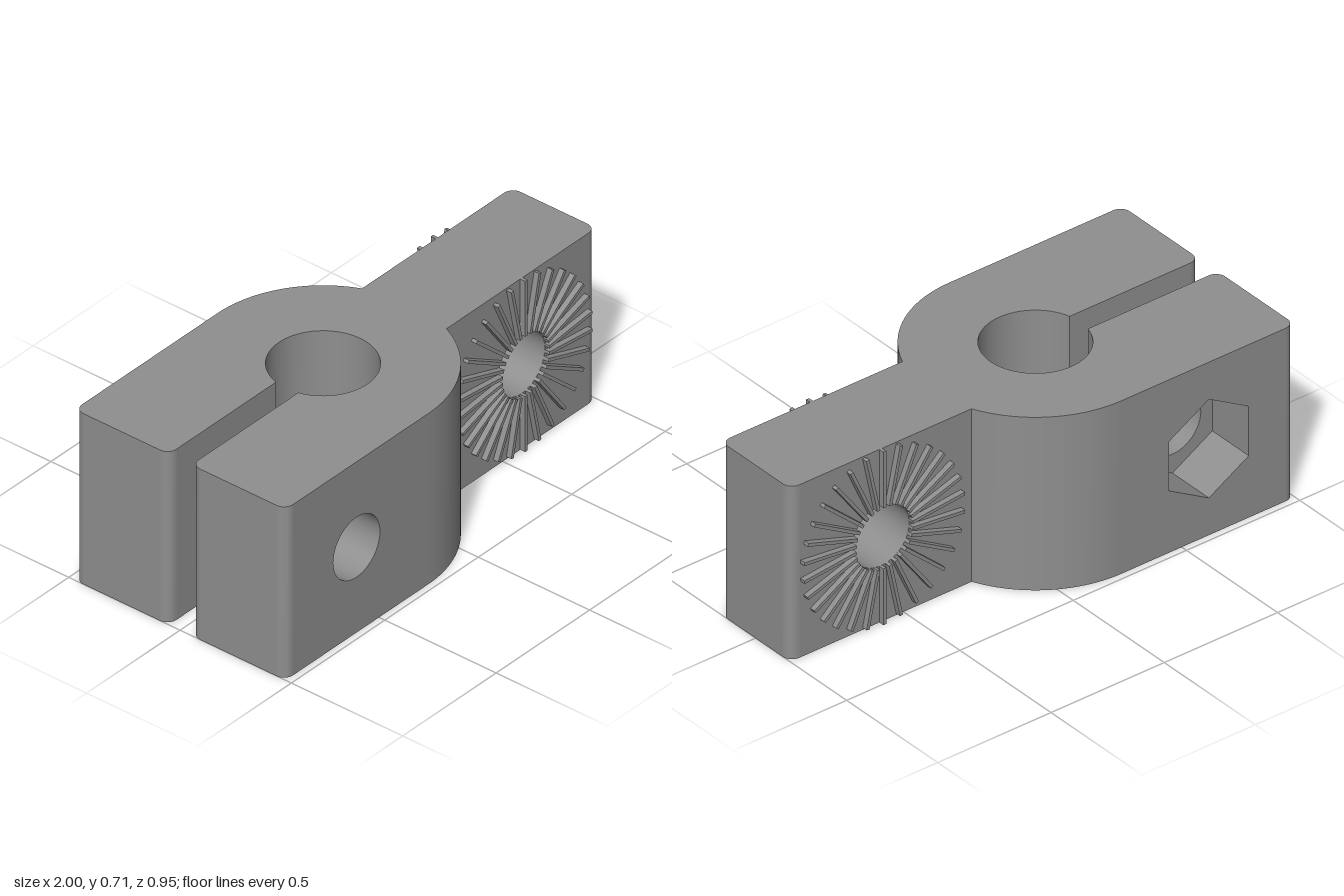
import * as THREE from 'three';
import { mergeGeometries, toCreasedNormals } from 'three/addons/utils/BufferGeometryUtils.js';

const H = 0.712, MID = H / 2;          // body height and hole height
const ARM = 0.474, SLOT = 0.05, TONGUE = 0.19; // half widths in z
const CX = -0.235, BORE = 0.198;       // clamp bore
const R = 0.04, HOLE = 0.125;          // end rounding, cross hole radius
const BOLT_X = -0.62, PIVOT_X = 0.6, POCKET = -0.274;

const V = (x, y) => new THREE.Vector2(x, y);

// Points on an arc, swept from angle a to angle b
function arc(cx, cy, r, a, b, n) {
  return Array.from({ length: n + 1 }, (_, i) => {
    const t = a + (b - a) * i / n;
    return V(cx + r * Math.cos(t), cy + r * Math.sin(t));
  });
}

// Upright strip along a path; the surface faces the right of the path
function wall(path, z0, z1) {
  const pos = [];
  for (let i = 0; i < path.length - 1; i++) {
    const a = path[i], b = path[i + 1];
    pos.push(a.x, a.y, z0, b.x, b.y, z0, b.x, b.y, z1);
    pos.push(a.x, a.y, z0, b.x, b.y, z1, a.x, a.y, z1);
  }
  const g = new THREE.BufferGeometry();
  g.setAttribute('position', new THREE.Float32BufferAttribute(pos, 3));
  return toCreasedNormals(g, 0.6);
}

function flat(points, hole) {
  const shape = new THREE.Shape(points);
  if (hole) shape.holes.push(new THREE.Path(hole));
  const g = new THREE.ShapeGeometry(shape).toNonIndexed();
  g.deleteAttribute('uv');
  return g;
}

// Flat face at depth z, facing +z (dir 1) or -z (dir -1), with a hole
function panel(points, hole, z, dir) {
  const flip = list => list.map(p => V(p.x * dir, p.y));
  const g = flat(flip(points), flip(hole));
  if (dir < 0) g.rotateY(Math.PI);
  return g.translate(0, 0, z);
}

const rect = (x0, x1) => [V(x0, 0), V(x1, 0), V(x1, H), V(x0, H)];

export function createModel() {
  const model = new THREE.Group();
  const grey = new THREE.MeshStandardMaterial({ color: 0x8f8f8f });
  grey.name = 'grey';
  const add = (name, parts) => {
    const mesh = new THREE.Mesh(mergeGeometries(parts), grey);
    mesh.name = name;
    model.add(mesh);
  };

  // Plan outline: curved and plain pieces, anticlockwise
  const P = Math.PI, a = Math.asin(TONGUE / ARM), b = P - Math.asin(SLOT / BORE);
  const neckX = CX + ARM * Math.cos(a), slotX = CX + BORE * Math.cos(b);
  const end = 1 - R;
  const armEnd = (outer, inner) => [
    arc(-end, outer - R, R, P / 2, P, 8),
    [V(-1, outer - R), V(-1, inner + R)],
    arc(-end, inner + R, R, P, 1.5 * P, 8),
  ];
  const pieces = [
    arc(end, R - TONGUE, R, -P / 2, 0, 8),
    [V(1, R - TONGUE), V(1, TONGUE - R)],
    arc(end, TONGUE - R, R, 0, P / 2, 8),
    arc(CX, 0, ARM, a, P / 2, 32),
    ...armEnd(ARM, SLOT),
    arc(CX, 0, BORE, b, -b, 64),
    ...armEnd(-SLOT, -ARM),
    arc(CX, 0, ARM, -P / 2, -a, 32),
  ];
  const outline = pieces.flat().filter((p, i, l) => i === 0 || p.distanceTo(l[i - 1]) > 1e-6);

  // Cross holes, clockwise so their walls face inward
  const bolt = arc(BOLT_X, MID, HOLE, 2 * P, 0, 48);
  const pivot = arc(PIVOT_X, MID, HOLE, 2 * P, 0, 48);
  const hex = arc(BOLT_X, MID, 0.203, 2.5 * P, P / 2, 6);
  const rim = list => list.slice(0, -1);

  // Clamp body skin
  const armRect = rect(-end, CX), slotRect = rect(-end, slotX), tongueRect = rect(neckX, end);
  add('clampBody', [
    flat(outline).rotateX(-P / 2).translate(0, H, 0),
    flat(outline).rotateX(P / 2),
    ...pieces.map(p => wall(p, 0, H).rotateX(-P / 2)),
    panel(armRect, rim(bolt), ARM, 1),
    panel(armRect, rim(hex), -ARM, -1),
    panel(slotRect, rim(bolt), SLOT, -1),
    panel(slotRect, rim(bolt), -SLOT, 1),
    panel(tongueRect, rim(pivot), TONGUE, 1),
    panel(tongueRect, rim(pivot), -TONGUE, -1),
  ]);

  // Hole walls and hexagonal nut pocket
  add('boltHole', [wall(bolt, SLOT, ARM), wall(bolt, POCKET, -SLOT)]);
  add('nutPocket', [wall(hex, -ARM, POCKET), panel(rim(hex), rim(bolt), POCKET, -1)]);
  add('pivotHole', [wall(pivot, -TONGUE, TONGUE)]);

  // Radial locking ribs on both faces of the tongue
  const ribs = new THREE.Group();
  ribs.name = 'lockingRibs';
  const r0 = HOLE, r1 = 0.356, count = 30;
  const ribGeometry = new THREE.BoxGeometry(r1 - r0, 0.013, 0.032).translate((r0 + r1) / 2, 0, 0);
  for (const side of [1, -1]) {
    for (let i = 0; i < count; i++) {
      const rib = new THREE.Mesh(ribGeometry, grey);
      rib.name = 'rib';
      rib.position.set(PIVOT_X, MID, side * (TONGUE + 0.006));
      rib.rotation.z = (i + 0.5) * 2 * P / count;
      ribs.add(rib);
    }
  }
  model.add(ribs);
  return model;
}
